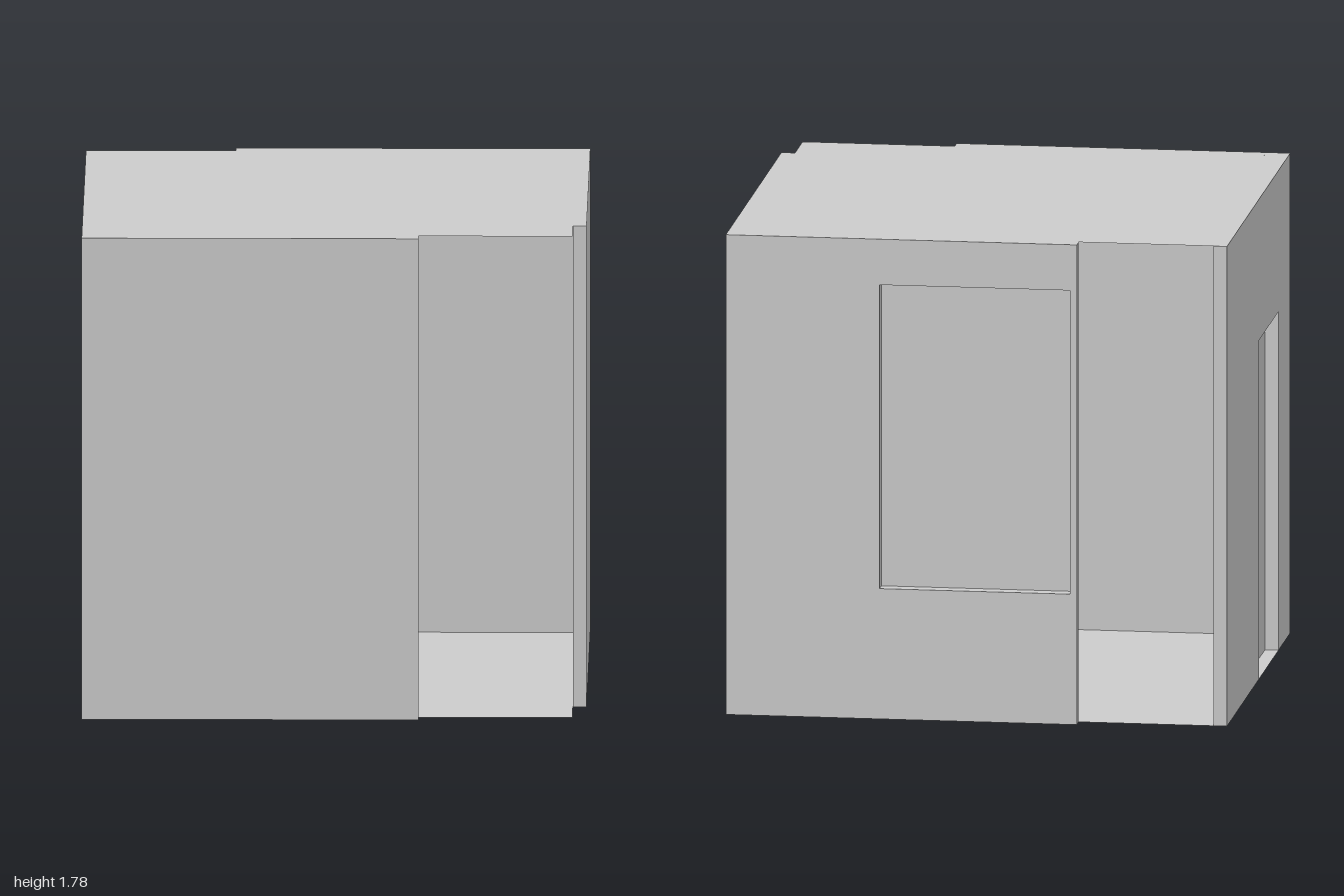
import * as THREE from 'three';

const H = 1.785;   // wall height
const T = 0.05;    // wall thickness
const U0 = -0.92, U1 = 0.915, V = 0.85; // outer limits of the room

const solid = new THREE.MeshStandardMaterial({ color: 0xcccccc, flatShading: true });
const thin = new THREE.MeshStandardMaterial({ color: 0xcccccc, flatShading: true, side: THREE.DoubleSide });

const polygon = (points) => new THREE.Shape(points.map(([x, y]) => new THREE.Vector2(x, y)));
const rect = (a, b, y0, y1) => [[a, y0], [b, y0], [b, y1], [a, y1]];

function named(name, geometry, material) {
  const mesh = new THREE.Mesh(geometry, material);
  mesh.name = name;
  return mesh;
}

// Upright slab from an outline drawn along the wall, with an optional hole
function wall(name, outline, hole) {
  const shape = polygon(outline);
  if (hole) shape.holes.push(polygon(hole));
  return named(name, new THREE.ExtrudeGeometry(shape, { depth: T, bevelEnabled: false }), solid);
}

// Thin leaf closing an opening
function panel(name, outline) {
  return named(name, new THREE.ShapeGeometry(polygon(outline)), thin);
}

// Turns a part to run along z, its thickness going towards -x
function sideways(mesh, x) {
  mesh.rotation.y = -Math.PI / 2;
  mesh.position.x = x;
  return mesh;
}

export function createModel() {
  const model = new THREE.Group();
  model.name = 'room';
  const room = new THREE.Group();
  room.name = 'roomShell';
  room.rotation.y = -0.0987; // the room stands slightly turned
  model.add(room);

  // Floor and ceiling share one notched plan
  const plan = [
    [U0, -V + T], [-0.375, -V + T], [-0.375, -V], [U1, -V],
    [U1, 0.603], [U1 - T, 0.603], [U1 - T, V - T],
    [0.306, V - T], [0.306, V], [U0, V],
  ];
  for (const [name, y] of [['floor', 0], ['ceiling', H]]) {
    const geometry = new THREE.ShapeGeometry(polygon(plan.map(([x, z]) => [x, -z])));
    geometry.rotateX(-Math.PI / 2);
    const slab = named(name, geometry, thin);
    slab.position.y = y;
    room.add(slab);
  }

  // Front wall, leaving an open corner on its left
  const front = wall('frontWall', rect(U0, 0.306, 0, H));
  front.position.z = V - T;

  // Back wall with a recessed window
  const opening = rect(-0.35, 0.35, 0.485, 1.615);
  const back = wall('backWall', rect(-0.375, U1 - T, 0, H), opening);
  back.position.z = -V;
  const windowPanel = panel('windowPanel', opening);
  windowPanel.position.z = -V + T;

  // Plain side wall
  const plain = sideways(wall('plainSideWall', rect(-V, 0.603, 0, H)), U1);

  // Side wall with a recessed doorway reaching the floor
  const d0 = 0.04, d1 = 0.545, doorTop = 1.26;
  const doorWall = sideways(wall('doorSideWall', [
    [-V + T, 0], [d0, 0], [d0, doorTop], [d1, doorTop], [d1, 0],
    [V - T, 0], [V - T, H], [-V + T, H],
  ]), U0 + T);
  const door = sideways(panel('doorPanel', rect(d0, d1, 0, doorTop)), U0 + T);

  room.add(front, back, windowPanel, plain, doorWall, door);
  return model;
}
